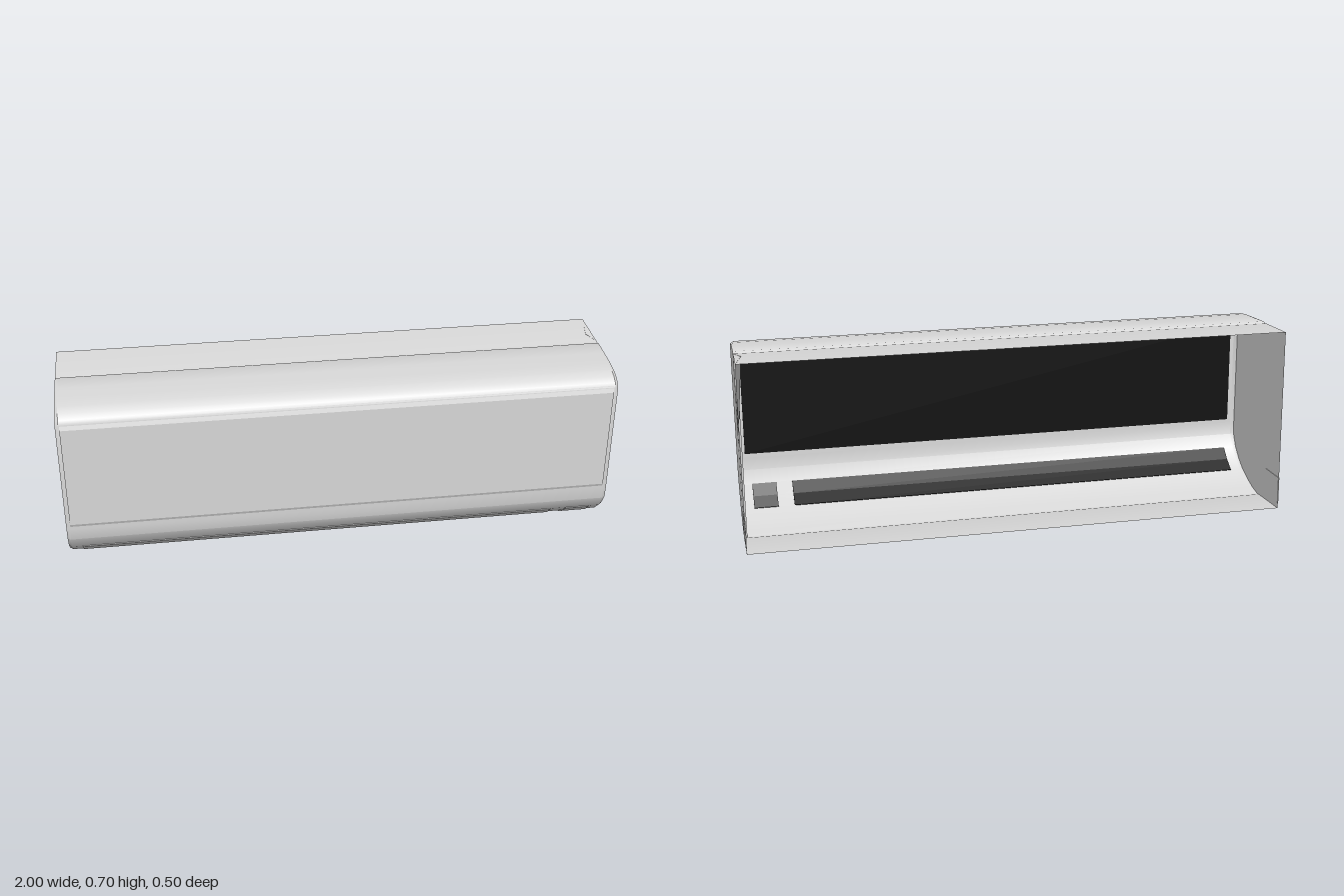
import * as THREE from 'three';
import { toCreasedNormals } from 'three/addons/utils/BufferGeometryUtils.js';

const mat = (name, color) => new THREE.MeshStandardMaterial({ name, color, side: THREE.DoubleSide });

// Casing cross-section as [z, y], from the rear top edge over the front to the rear bottom edge
const FRONT = [
  [-0.03, 0.688], [-0.02, 0.693], [0.06, 0.691], [0.13, 0.688], [0.18, 0.681], [0.21, 0.67], [0.23, 0.655],
  [0.239, 0.64], [0.229, 0.21], [0.226, 0.165], [0.197, 0.115], [0.158, 0.078], [0.112, 0.048],
  [0.05, 0.024], [0, 0.01], [-0.045, 0.003], [-0.052, 0.001],
];
const PROFILE = [[-0.222, 0.698], [-0.042, 0.69], ...FRONT, [-0.062, 0.004], [-0.244, 0.013]];

// Draws the front edge in slightly to round the ends of the casing
function inset([z, y]) {
  const k = 0.022 * Math.min(1, Math.max(0, (z + 0.03) / 0.2));
  return [z - (z + 0.03) * k, y - (y - 0.35) * k];
}

function fromTriangles(corners) {
  const g = new THREE.BufferGeometry();
  g.setAttribute('position', new THREE.Float32BufferAttribute(corners.flat(), 3));
  g.computeVertexNormals();
  return g;
}

// Skin through the cross-section, left end to right end
function loft(stations) {
  const out = [];
  for (let s = 0; s < stations.length - 1; s++) {
    const [x0, p0] = stations[s], [x1, p1] = stations[s + 1];
    for (let i = 0; i < p0.length - 1; i++) {
      const a = [x0, p0[i][1], p0[i][0]], b = [x0, p0[i + 1][1], p0[i + 1][0]];
      const c = [x1, p1[i + 1][1], p1[i + 1][0]], d = [x1, p1[i][1], p1[i][0]];
      out.push(a, b, c, a, c, d);
    }
  }
  return toCreasedNormals(fromTriangles(out), 0.6);
}

const shapeOf = (pts) => new THREE.Shape(pts.map(([z, y]) => new THREE.Vector2(-z, y)));

// Flat end wall at x
const wall = (pts, x) => new THREE.ShapeGeometry(shapeOf(pts)).rotateY(Math.PI / 2).translate(x, 0, 0);

// Bar of a [z, y] cross-section running from x0 to x1
const bar = (pts, x0, x1) => new THREE.ExtrudeGeometry(shapeOf(pts), { depth: x1 - x0, bevelEnabled: false })
  .rotateY(Math.PI / 2).translate(x0, 0, 0);

// Thin closed strip following a line, between two offsets along z and y
function strip(line, from, to) {
  const move = (o) => line.map(([z, y]) => [z + o * 0.6, y - o * 0.8]);
  return [...move(to), ...move(from).reverse()];
}

export function createModel() {
  const body = mat('casing grey', 0xd9d9d9);
  const black = mat('inner black', 0x0b0b0b);
  const dark = mat('window grey', 0x555555);

  const model = new THREE.Group();
  model.name = 'wallUnit';
  const unit = new THREE.Group();
  unit.name = 'unit';
  unit.rotation.y = -0.006;
  model.add(unit);
  const add = (name, geometry, material = body) => {
    const m = new THREE.Mesh(geometry, material);
    m.name = name;
    unit.add(m);
  };

  // Casing, open at the back
  const ends = PROFILE.map(inset);
  add('casing', loft([[-1, ends], [-0.988, PROFILE], [0.988, PROFILE], [1, ends]]));
  add('rightEnd', wall(ends, -1));
  add('leftEndFront', wall(FRONT.map(inset), 1));

  // Seam groove down the left end
  const tri = (...q) => [q[0], q[1], q[2], q[0], q[2], q[3]];
  const f0 = [1, 0.688, -0.03], f1 = [1, 0.001, -0.052];
  const g0 = [0.988, 0.688, -0.036], g1 = [0.988, 0.003, -0.057];
  const r0 = [1, 0.69, -0.042], r1 = [1, 0.004, -0.062];
  add('seamGroove', fromTriangles([...tri(f0, f1, g1, g0), ...tri(g0, g1, r1, r0)]));

  // Rear of the left end, creased inwards at the top
  const mid = [0.975, 0.694, -0.1], low = [1, 0.35, -0.052];
  const rb = [1, 0.698, -0.222], rc = [1, 0.013, -0.244];
  add('leftEndRear', fromTriangles([r0, low, mid, mid, low, rb, low, rc, rb, low, r1, rc]));

  // Front panel and its dark back
  add('frontPanel', bar([[0.236, 0.646], [0.244, 0.622], [0.234, 0.232], [0.226, 0.214]], -0.985, 0.982));
  add('panelBack', bar([[0.236, 0.63], [0.2265, 0.23], [0.2225, 0.23], [0.232, 0.63]], -0.97, 0.97), black);

  // Air flap under the front, with its dark back
  const curve = [[0.197, 0.115], [0.158, 0.078], [0.112, 0.048]];
  add('airFlap', bar(strip(curve, 0, 0.003), -0.95, 0.8));
  add('flapBack', bar(strip(curve, -0.006, -0.003), -0.95, 0.8), black);

  // Small display window beside the flap
  add('displayCover', bar(strip(curve, 0, 0.003), 0.86, 0.95));
  add('displayBack', bar(strip(curve, -0.006, -0.003), 0.86, 0.95), dark);

  // Pipe knockouts at the lower rear of both ends
  const knockout = [[-0.118, 0.131], [-0.239, 0.134], [-0.242, 0.035], [-0.122, 0.033]];
  add('leftKnockout', bar(knockout, 0.998, 1.002));
  add('rightKnockout', bar(knockout, -1.002, -0.998));

  return model;
}
